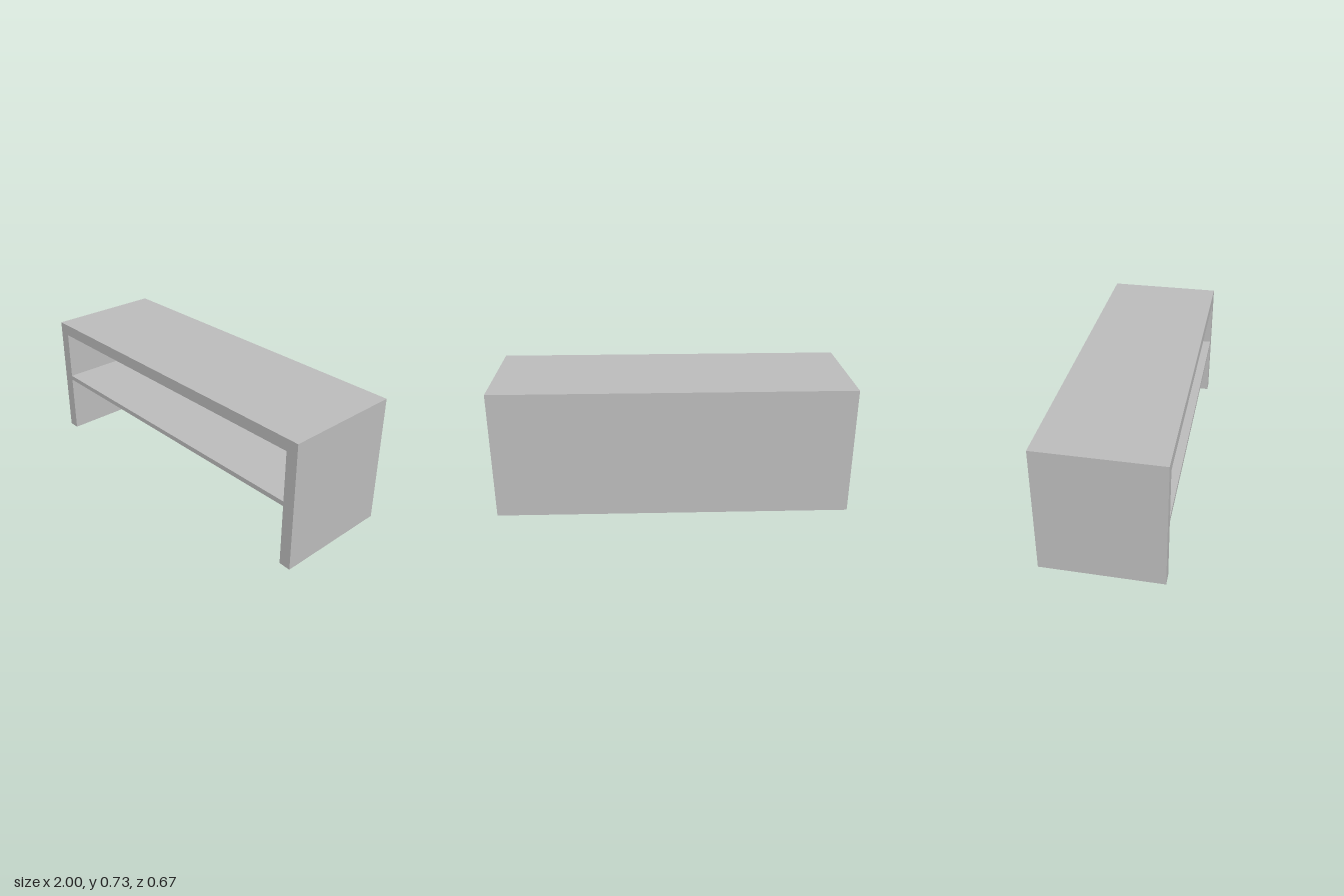
import * as THREE from 'three';

const W = 2, H = 0.733, D = 0.667; // overall size
const T = 0.067;                   // wall, top and back thickness
const SHELF_LOW = 0.354, SHELF_HIGH = 0.381;

export function createModel() {
  const group = new THREE.Group();
  group.name = 'shelfUnit';
  const grey = new THREE.MeshStandardMaterial({ color: 0xbcbcbc });
  grey.name = 'grey';

  const add = (name, geometry, z) => {
    const mesh = new THREE.Mesh(geometry, grey);
    mesh.name = name;
    mesh.position.z = z;
    group.add(mesh);
  };

  // Sides, top and shelf: one front outline, open at the bottom, with a hole for the upper bay
  const x = W / 2, xi = x - T, yi = H - T;
  const points = (list) => list.map(([px, py]) => new THREE.Vector2(px, py));
  const outline = new THREE.Shape(points([
    [-x, 0], [-xi, 0], [-xi, SHELF_LOW], [xi, SHELF_LOW],
    [xi, 0], [x, 0], [x, H], [-x, H],
  ]));
  outline.holes.push(new THREE.Path(points([
    [-xi, SHELF_HIGH], [-xi, yi], [xi, yi], [xi, SHELF_HIGH],
  ])));
  add('frameWithShelf', new THREE.ExtrudeGeometry(outline, { depth: D, bevelEnabled: false }), -D / 2);

  // Back panels closing the upper and lower bays
  const backPanel = (name, low, high) => add(
    name,
    new THREE.BoxGeometry(2 * xi, high - low, T).translate(0, (low + high) / 2, 0),
    -D / 2 + T / 2,
  );
  backPanel('upperBackPanel', SHELF_HIGH, yi);
  backPanel('lowerBackPanel', 0, SHELF_LOW);

  return group;
}
